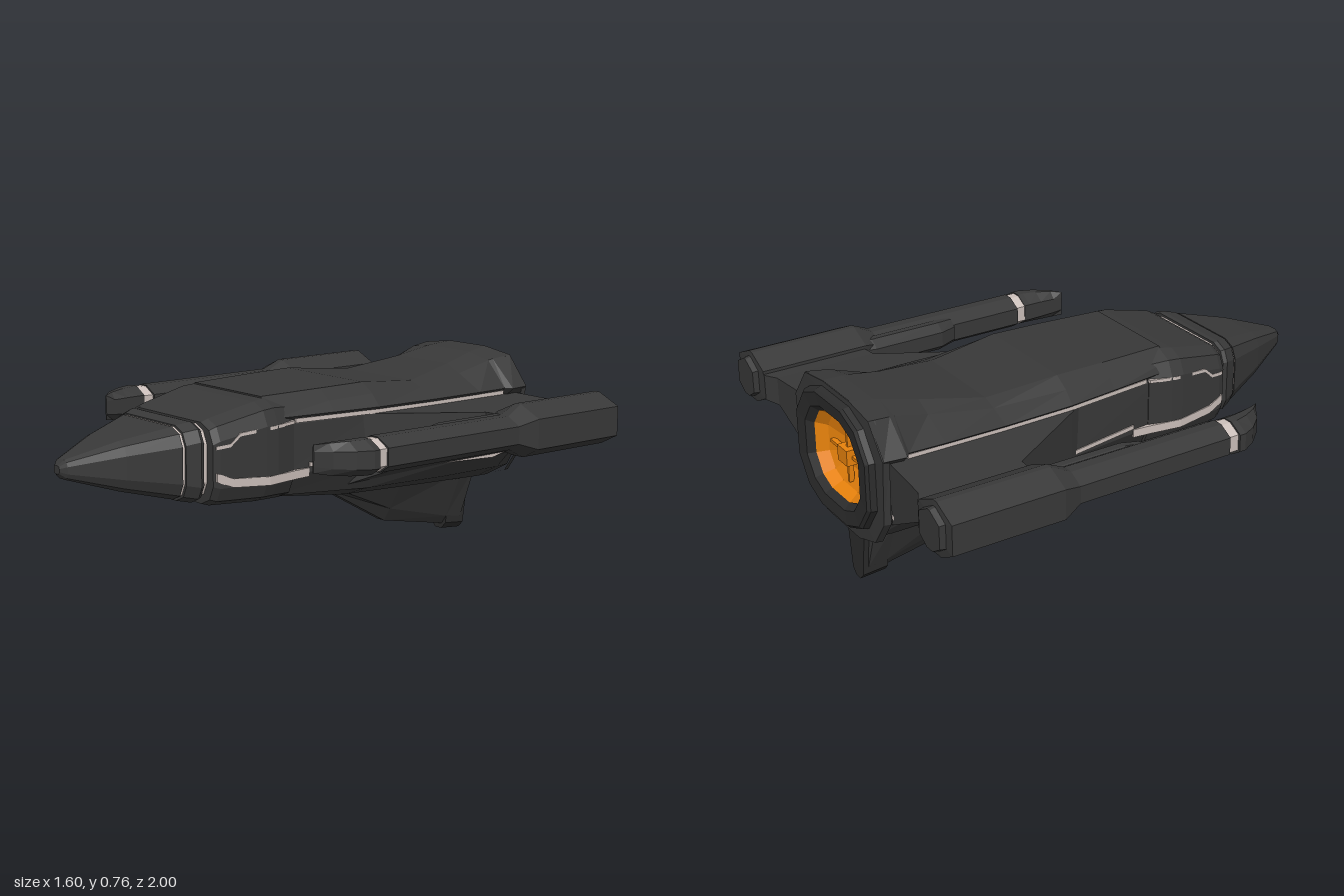
import * as THREE from 'three';

const mat = (color) => new THREE.MeshStandardMaterial({ color, flatShading: true });
const dark = mat(0x383838), black = mat(0x2c2c2c), pale = mat(0xcbbfba), orange = mat(0xe8820c);

// Ring of points at depth z, from a half profile (top to bottom) mirrored about cx
function ring(z, half, cx = 0) {
  const right = half.map(([x, y]) => new THREE.Vector3(cx + x, y, z));
  const left = half.map(([x, y]) => new THREE.Vector3(cx - x, y, z)).reverse();
  return [...right, ...left];
}

// Skin consecutive rings; each ring runs clockwise seen from the first ring
function loft(rings, { side = 1, caps = [true, true] } = {}) {
  const pos = [];
  const tri = (a, b, c) => {
    for (const p of side > 0 ? [a, b, c] : [a, c, b]) pos.push(p.x * side, p.y, p.z);
  };
  const n = rings[0].length;
  for (let i = 0; i < rings.length - 1; i++) {
    for (let j = 0; j < n; j++) {
      const k = (j + 1) % n, A = rings[i], B = rings[i + 1];
      tri(A[j], A[k], B[j]);
      tri(A[k], B[k], B[j]);
    }
  }
  const cap = (r, front) => {
    const c = r.reduce((s, p) => s.add(p), new THREE.Vector3()).divideScalar(n);
    r.forEach((p, j) => (front ? tri(c, r[(j + 1) % n], p) : tri(c, p, r[(j + 1) % n])));
  };
  if (caps[0]) cap(rings[0], true);
  if (caps[1]) cap(rings[rings.length - 1], false);
  const g = new THREE.BufferGeometry();
  g.setAttribute('position', new THREE.Float32BufferAttribute(pos, 3));
  g.computeVertexNormals();
  return g;
}

// Bevelled box profile: half-width, top, bottom, bevel
const bevel = (w, t, b, c) => [[w - c * 1.6, t], [w - c * 0.5, t - c * 0.5], [w, t - c * 1.6],
  [w, b + c * 1.6], [w - c * 0.5, b + c * 0.5], [w - c * 1.6, b]];

export function createModel() {
  const model = new THREE.Group();
  const add = (name, geo, material = dark, parent = model) => {
    const m = new THREE.Mesh(geo, material);
    m.name = name;
    parent.add(m);
    return m;
  };

  // Nose cone and its pale seams
  add('noseCone', loft([
    ring(1.0, bevel(0.018, 0.515, 0.485, 0.006)),
    ring(0.98, bevel(0.04, 0.535, 0.465, 0.014)),
    ring(0.8, bevel(0.135, 0.59, 0.41, 0.03)),
    ring(0.62, bevel(0.215, 0.628, 0.367, 0.04)),
  ]));
  add('noseSeam', loft([
    ring(0.622, bevel(0.209, 0.624, 0.37, 0.04)), ring(0.6, bevel(0.215, 0.628, 0.367, 0.04)),
  ]), pale);
  add('noseCollar', loft([
    ring(0.61, bevel(0.22, 0.632, 0.362, 0.04)),
    ring(0.56, bevel(0.242, 0.642, 0.352, 0.04)),
    ring(0.545, bevel(0.236, 0.638, 0.356, 0.04)),
  ]));
  add('neckSeam', loft([
    ring(0.55, bevel(0.222, 0.628, 0.366, 0.04)), ring(0.51, bevel(0.228, 0.632, 0.362, 0.04)),
  ]), pale);

  // Forward hull block
  add('forwardHull', loft([
    ring(0.525, bevel(0.262, 0.638, 0.345, 0.045)),
    ring(0.5, bevel(0.272, 0.65, 0.337, 0.045)),
    ring(0.31, bevel(0.297, 0.692, 0.328, 0.05)),
    ring(0.26, bevel(0.295, 0.698, 0.325, 0.055)),
    ring(0.17, bevel(0.272, 0.69, 0.318, 0.055)),
  ]));

  // Main hull, closing into the engine rim at the stern
  add('mainHull', loft([
    ring(0.22, [[0.17, 0.68], [0.24, 0.65], [0.265, 0.6], [0.265, 0.42], [0.22, 0.335], [0.14, 0.317]]),
    ring(-0.2, [[0.2, 0.69], [0.26, 0.65], [0.29, 0.6], [0.3, 0.41], [0.25, 0.31], [0.13, 0.265]]),
    ring(-0.6, [[0.18, 0.65], [0.25, 0.64], [0.29, 0.6], [0.315, 0.37], [0.25, 0.3], [0.13, 0.25]]),
    ring(-0.9, [[0.18, 0.7], [0.25, 0.68], [0.29, 0.6], [0.315, 0.37], [0.25, 0.3], [0.13, 0.24]]),
    ring(-0.965, [[0.11, 0.74], [0.23, 0.71], [0.3, 0.6], [0.3, 0.4], [0.24, 0.3], [0.13, 0.24]]),
    ring(-0.967, [[0.1, 0.735], [0.2, 0.7], [0.27, 0.6], [0.27, 0.42], [0.2, 0.32], [0.1, 0.28]]),
  ], { caps: [true, false] }));

  // Upper armour shell overhanging the sides
  const shell = [
    [0.265, 0.2, 0.25, 0.268, 0.703, 0.66], [0.0, 0.215, 0.265, 0.298, 0.708, 0.668],
    [-0.2, 0.22, 0.278, 0.32, 0.711, 0.675], [-0.48, 0.19, 0.245, 0.327, 0.685, 0.665],
    [-0.72, 0.14, 0.205, 0.325, 0.722, 0.69], [-0.86, 0.12, 0.225, 0.32, 0.752, 0.73],
    [-0.88, 0.115, 0.23, 0.345, 0.755, 0.735], [-0.965, 0.1, 0.24, 0.335, 0.765, 0.745],
  ];
  add('upperShell', loft(shell.map(([z, t, s, e, ty, sy]) =>
    ring(z, [[t, ty], [s, sy], [e, 0.63], [e - 0.035, 0.6]])), { caps: [true, false] }));
  // Close the shell behind, down to the engine rim
  add('sternPlate', loft([
    ring(-0.94, [[0.1, 0.76], [0.24, 0.74], [0.33, 0.62], [0.32, 0.38], [0.25, 0.28], [0.12, 0.24]]),
    ring(-0.966, [[0.1, 0.763], [0.238, 0.743], [0.33, 0.625], [0.315, 0.38], [0.245, 0.28], [0.12, 0.24]]),
    ring(-0.968, [[0.09, 0.72], [0.18, 0.69], [0.25, 0.59], [0.25, 0.43], [0.18, 0.33], [0.09, 0.3]]),
  ], { caps: [false, false] }));

  // Engine: rim, orange bowl, spokes and hub
  const rim = (s) => [[0.1, 0.23], [0.2, 0.19], [0.27, 0.09], [0.27, -0.09], [0.2, -0.19], [0.1, -0.23]]
    .map(([x, y]) => [x * s, 0.51 + y * s]);
  const engine = new THREE.Group();
  engine.name = 'engine';
  model.add(engine);
  add('engineRim', loft([ring(-0.95, rim(1.03)), ring(-0.99, rim(1)), ring(-1, rim(0.96)),
    ring(-0.995, rim(0.75)), ring(-0.97, rim(0.66))], { caps: [false, false] }), black, engine);
  add('engineBowl', loft([ring(-0.98, rim(0.7)), ring(-0.93, rim(0.56)), ring(-0.9, rim(0.3))],
    { caps: [false, true] }), orange, engine);
  const hub = add('engineHub', new THREE.BoxGeometry(0.07, 0.06, 0.06), orange, engine);
  hub.position.set(0, 0.51, -0.925);
  for (const [w, h] of [[0.26, 0.012], [0.012, 0.22]]) {
    add('engineSpoke', new THREE.BoxGeometry(w, h, 0.02), orange, engine).position.set(0, 0.51, -0.925);
  }

  // Ventral fin with a thicker trailing post
  add('ventralFin', loft([
    ring(-0.2, [[0.11, 0.3], [0.09, 0.275], [0.02, 0.262]]),
    ring(-0.5, [[0.13, 0.28], [0.055, 0.15], [0.02, 0.095]]),
    ring(-0.82, [[0.13, 0.27], [0.045, 0.07], [0.02, 0.035]]),
    ring(-0.9, [[0.12, 0.27], [0.045, 0.06], [0.02, 0.025]]),
  ]));
  add('finPost', loft([
    ring(-0.82, [[0.07, 0.26], [0.042, 0.04], [0.018, 0.014]]),
    ring(-0.92, [[0.07, 0.26], [0.04, 0.03], [0.016, 0.005]]),
  ]), black);

  // Thin strip along a path of [x, y, z], front to back
  const strip = (path, h, side) => loft(path.map(([x, y, z]) => [[x - 0.03, y + h], [x, y + h], [x, y - h],
    [x - 0.03, y - h]].map(([a, b]) => new THREE.Vector3(a, b, z))), { side });

  const fore = [[0.02, 0.62], [0.075, 0.59], [0.075, 0.525], [0.03, 0.497]];
  const aft = [[0.012, 0.655], [0.106, 0.612], [0.106, 0.5], [0.03, 0.46]];
  const scaled = (p, sx, sy = 1) => p.map(([x, y]) => [x * sx, 0.56 + (y - 0.56) * sy]);

  for (const side of [1, -1]) {
    const half = new THREE.Group();
    half.name = side > 0 ? 'leftSide' : 'rightSide';
    model.add(half);

    // Wing: [x, leading z, trailing z, top, bottom]
    add('wing', loft([
      [0.22, -0.05, -0.92, 0.605, 0.32], [0.32, -0.2, -0.93, 0.605, 0.375], [0.53, -0.545, -0.945, 0.6, 0.49],
      [0.58, -0.55, -0.975, 0.6, 0.5], [0.66, -0.55, -0.975, 0.6, 0.5],
    ].map(([x, l, t, a, b]) => [[t, a], [l, a], [l, b], [t, b]].map(([z, y]) => new THREE.Vector3(x, y, z))),
    { side }), dark, half);

    // Nacelle: narrow fore boom, wide aft pod, inner bulge
    add('nacelle', loft([
      ring(0.16, fore, 0.693), ring(-0.47, scaled(fore, 1.03), 0.696), ring(-0.545, aft, 0.693),
      ring(-0.975, aft, 0.693), ring(-0.978, scaled(aft, 0.65, 0.8), 0.695), ring(-1, scaled(aft, 0.62, 0.75), 0.695),
    ], { side }), dark, half);
    add('nacelleBulge', loft([
      ring(-0.14, scaled(fore, 0.5, 0.8), 0.65), ring(-0.21, scaled(fore, 0.7, 0.9), 0.638),
      ring(-0.5, scaled(fore, 0.7, 0.9), 0.638), ring(-0.56, scaled(fore, 0.6, 0.9), 0.645),
    ], { side }), dark, half);
    add('nacelleBand', loft([
      ring(0.205, scaled(fore, 0.88, 0.93), 0.695), ring(0.15, scaled(fore, 0.88, 0.93), 0.695),
    ], { side }), pale, half);
    add('nacelleTip', loft([
      ring(0.38, scaled(fore, 0.05, 0.8), 0.632), ring(0.34, scaled(fore, 0.42, 0.9), 0.66),
      ring(0.28, scaled(fore, 0.77, 0.97), 0.686), ring(0.225, scaled(fore, 0.96), 0.7),
      ring(0.2, scaled(fore, 0.96), 0.7),
    ], { side }), dark, half);

    // Pale seams along the hull sides
    add('foreSeam', strip([[0.273, 0.45, 0.515], [0.284, 0.425, 0.45], [0.301, 0.415, 0.3],
      [0.285, 0.417, 0.17], [0.278, 0.417, 0.1]], 0.016, side), pale, half);
    add('cockpitSeam', strip([[0.27, 0.555, 0.515], [0.279, 0.56, 0.46], [0.285, 0.595, 0.42],
      [0.298, 0.605, 0.28], [0.28, 0.61, 0.17]], 0.006, side), pale, half);
    add('shellSeam', strip([[0.272, 0.612, 0.16], [0.308, 0.612, -0.2], [0.314, 0.612, -0.48],
      [0.312, 0.612, -0.86]], 0.008, side), pale, half);
    add('lowerSeam', strip([[0.28, 0.445, 0.1], [0.304, 0.425, -0.2], [0.31, 0.39, -0.28],
      [0.322, 0.37, -0.8], [0.325, 0.4, -0.93]], 0.008, side), pale, half);
  }
  return model;
}
